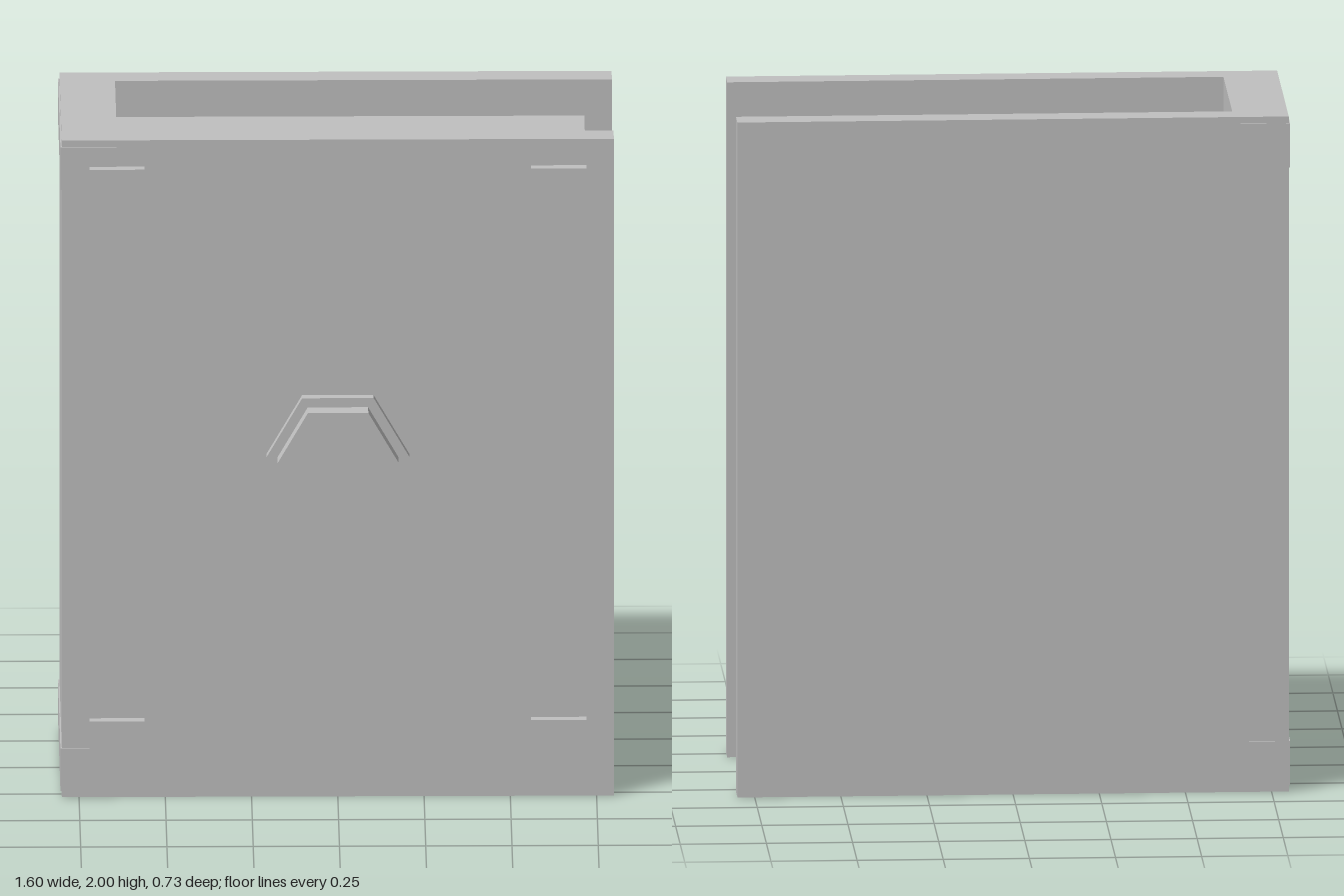
import * as THREE from 'three';

export function createModel() {
  const group = new THREE.Group();
  const grey = new THREE.MeshStandardMaterial({ color: 0xc0c0c0 });
  grey.name = 'plainGrey';

  const add = (name, geometry) => {
    const mesh = new THREE.Mesh(geometry, grey);
    mesh.name = name;
    group.add(mesh);
    return mesh;
  };
  // Box given by its lower and upper corners
  const block = (name, [x0, y0, z0], [x1, y1, z1]) =>
    add(name, new THREE.BoxGeometry(x1 - x0, y1 - y0, z1 - z0))
      .position.set((x0 + x1) / 2, (y0 + y1) / 2, (z0 + z1) / 2);

  // Book binding: front cover, spine and back cover as one C-shaped section
  const section = new THREE.Shape([
    [-0.8, -0.28], [0.8, -0.28], [0.8, -0.2], [-0.64, -0.2],
    [-0.64, 0.28], [0.8, 0.28], [0.8, 0.36], [-0.8, 0.36],
  ].map(([x, y]) => new THREE.Vector2(x, y)));
  add('binding', new THREE.ExtrudeGeometry(section, { depth: 2, bevelEnabled: false })
    .rotateX(-Math.PI / 2));

  // Page block, set back from the cover edges
  block('pages', [-0.64, 0.08, -0.28], [0.72, 1.89, 0.2]);

  // Thin bands wrapped around both ends of the spine
  for (const y of [0.02, 1.85]) {
    block('spineBand', [-0.804, y, -0.364], [-0.642, y + 0.13, 0.284]);
  }

  // Square studs at the cover corners
  for (const x of [-0.64, 0.64]) {
    for (const y of [0.16, 1.84]) {
      block('cornerStud', [x - 0.08, y - 0.08, 0.27], [x + 0.08, y + 0.08, 0.31]);
    }
  }

  // Stepped hexagonal emblem with points to the sides
  const hexagon = (name, radius, z0, z1) => {
    const geometry = new THREE.CylinderGeometry(radius, radius, z1 - z0, 6).toNonIndexed();
    geometry.computeVertexNormals();
    geometry.rotateX(Math.PI / 2).rotateZ(Math.PI / 6);
    add(name, geometry).position.set(0, 1.043, (z0 + z1) / 2);
  };
  hexagon('emblemBase', 0.207, 0.27, 0.31);
  hexagon('emblemTop', 0.175, 0.3, 0.364);

  return group;
}
